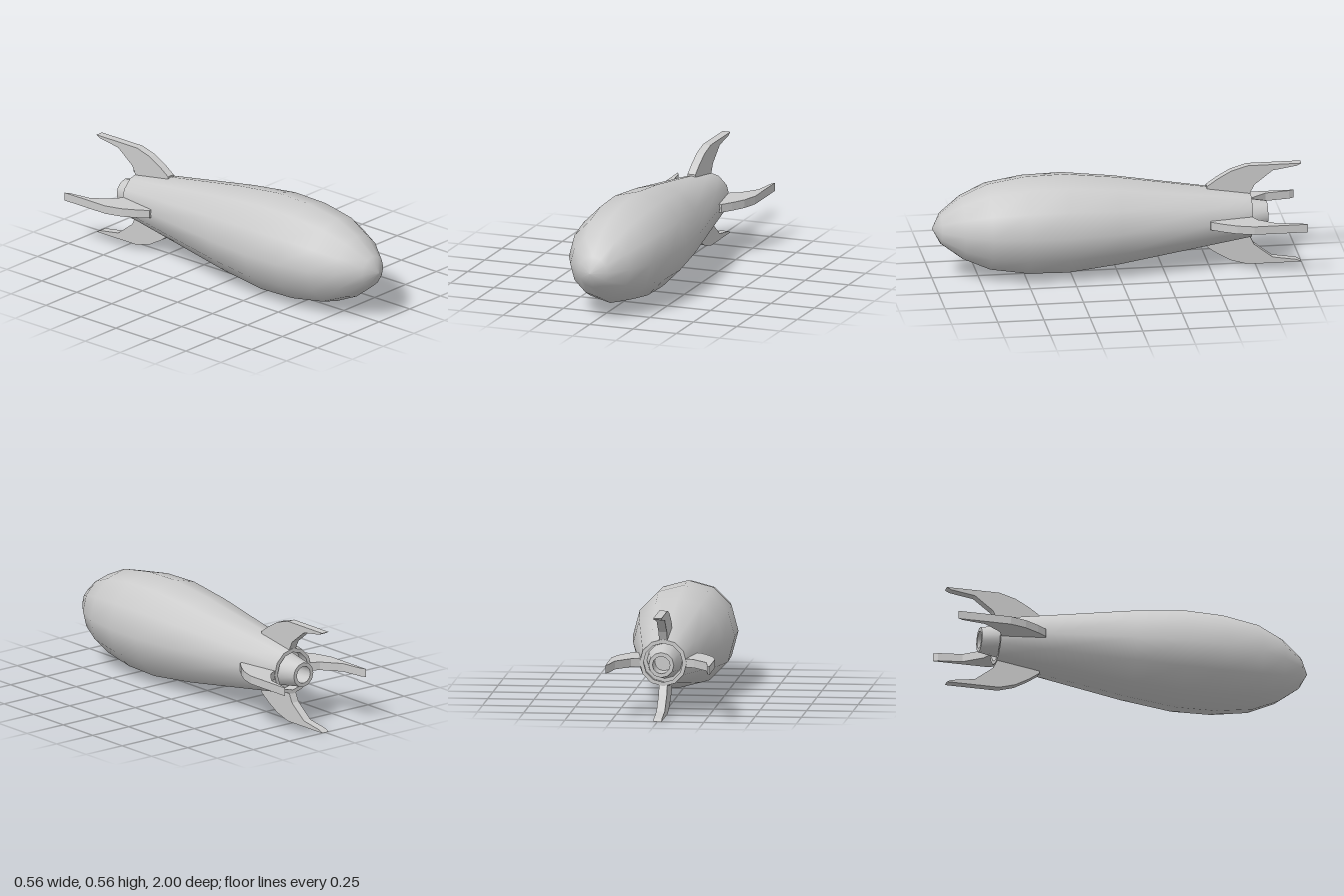
import * as THREE from 'three';
import { toCreasedNormals } from 'three/addons/utils/BufferGeometryUtils.js';

const AXIS_Y = 0.28;
const SIDES = 12;

export function createModel() {
  const model = new THREE.Group();
  const grey = new THREE.MeshStandardMaterial({ color: 0xcccccc });

  const add = (name, geometry) => {
    const mesh = new THREE.Mesh(geometry, grey);
    mesh.name = name;
    mesh.position.y = AXIS_Y;
    model.add(mesh);
    return mesh;
  };

  // Turned part along the z axis, from [radius, z] pairs running back to front outside
  const turned = (points) => {
    const profile = points.map(([r, z]) => new THREE.Vector2(r, z));
    const geometry = new THREE.LatheGeometry(profile, SIDES).rotateX(Math.PI / 2);
    return toCreasedNormals(geometry, 0.95);
  };

  // Hull: recessed tail, thin rim, tapered flank and rounded nose
  add('hull', turned([
    [0, -0.65], [0.115, -0.65], [0.106, -0.725], [0.127, -0.725],
    [0.166, -0.48], [0.243, 0], [0.275, 0.28], [0.27, 0.5],
    [0.238, 0.7], [0.175, 0.84], [0.086, 0.955], [0, 1],
  ]));

  // Exhaust nozzle with a hollow bore
  add('nozzle', turned([
    [0, -0.68], [0.05, -0.68], [0.047, -0.815], [0.068, -0.815], [0.096, -0.65],
  ]));

  // Four swept tail fins; outline in [radius, z]
  const outline = [
    [0.12, -0.72], [0.17, -0.745], [0.247, -0.845], [0.267, -0.975], [0.28, -1],
    [0.28, -0.71], [0.254, -0.62], [0.212, -0.545], [0.172, -0.488], [0.15, -0.488],
  ];
  const thickness = 0.045;
  const finShape = new THREE.Shape(outline.map(([r, z]) => new THREE.Vector2(r, z)));
  const finGeometry = new THREE.ExtrudeGeometry(finShape, { depth: thickness, bevelEnabled: false })
    .translate(0, 0, -thickness / 2)
    .rotateX(Math.PI / 2);
  ['leftFin', 'topFin', 'rightFin', 'bottomFin'].forEach((name, i) => {
    add(name, finGeometry).rotation.z = i * Math.PI / 2;
  });

  return model;
}
